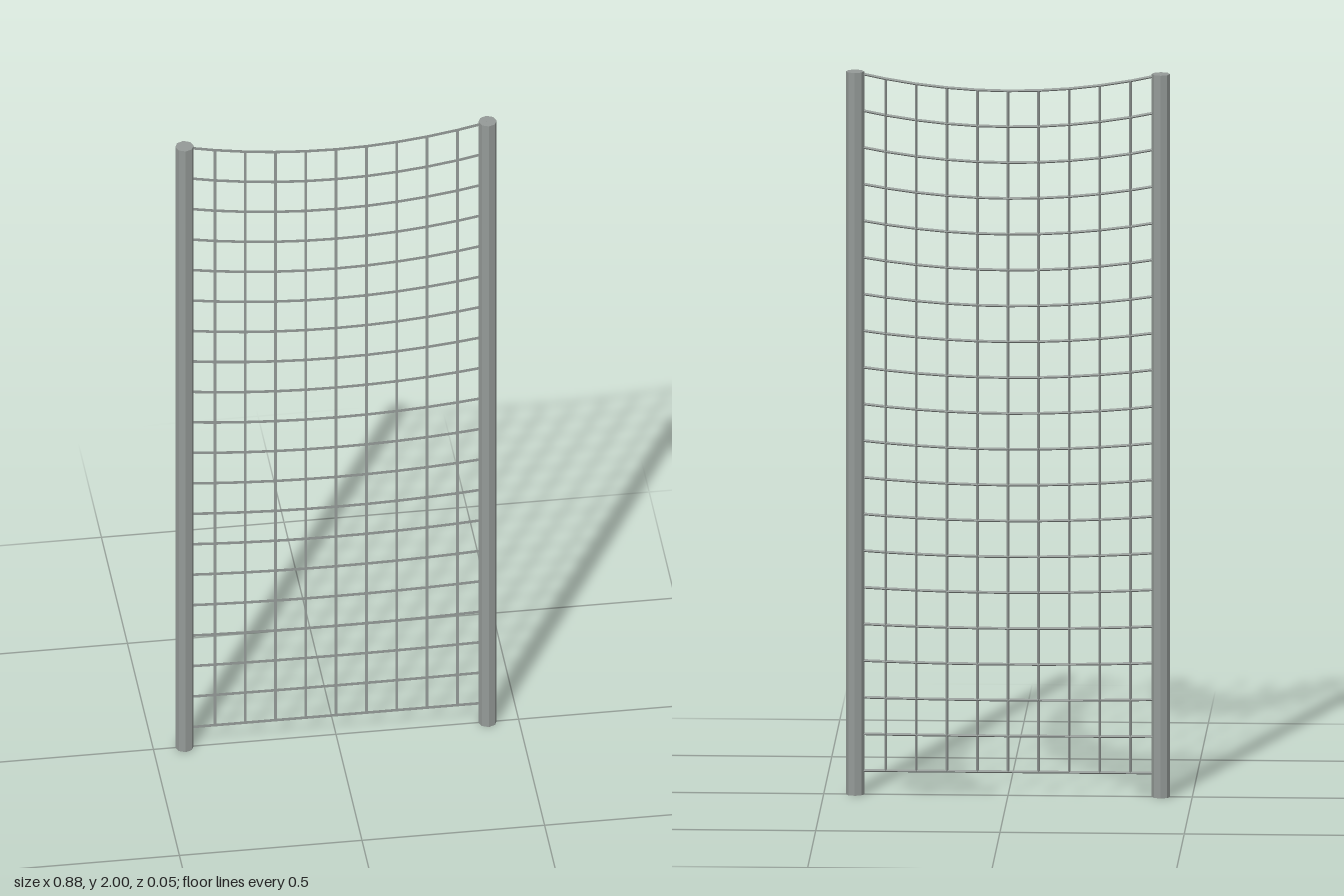
import * as THREE from 'three';

const HALF = 0.415, BOTTOM = 0.065, TOP = 1.997, SAG = 0.048, ROWS = 20, COLS = 10;
const WIRE = 0.0045;

export function createModel() {
  const group = new THREE.Group();
  const steel = new THREE.MeshStandardMaterial({ color: 0x949a97, flatShading: true });
  steel.name = 'grey steel';

  const add = (name, geometry) => {
    const mesh = new THREE.Mesh(geometry, steel);
    mesh.name = name;
    group.add(mesh);
    return mesh;
  };

  // Height of the net at x; t runs from the level bottom row (0) to the sagging top row (1)
  const netY = (x, t) =>
    BOTTOM + t * (TOP - BOTTOM - SAG * (1 - (x / HALF) ** 2));

  // Octagonal end posts
  for (const side of [-1, 1]) {
    const post = add(side > 0 ? 'leftPost' : 'rightPost', new THREE.CylinderGeometry(0.025, 0.025, 2, 8));
    post.position.set(side * HALF, 1, 0);
  }

  // Sagging three-sided horizontal wires, flat side to the front
  for (let i = 0; i < ROWS; i++) {
    const t = i / (ROWS - 1);
    const points = [];
    for (let j = 0; j <= COLS; j++) {
      const x = HALF * (2 * j / COLS - 1);
      points.push(new THREE.Vector3(x, netY(x, t), 0));
    }
    const wire = add('horizontalWire', new THREE.TubeGeometry(new THREE.CatmullRomCurve3(points), COLS, WIRE, 3));
    wire.rotation.y = Math.PI;
  }

  // Three-sided vertical wires between the posts, flat side to the front
  for (let j = 1; j < COLS; j++) {
    const x = HALF * (2 * j / COLS - 1);
    const height = netY(x, 1) - BOTTOM;
    const wire = add('verticalWire', new THREE.CylinderGeometry(WIRE, WIRE, height, 3));
    wire.position.set(x, BOTTOM + height / 2, 0);
    wire.rotation.y = Math.PI;
  }

  return group;
}
